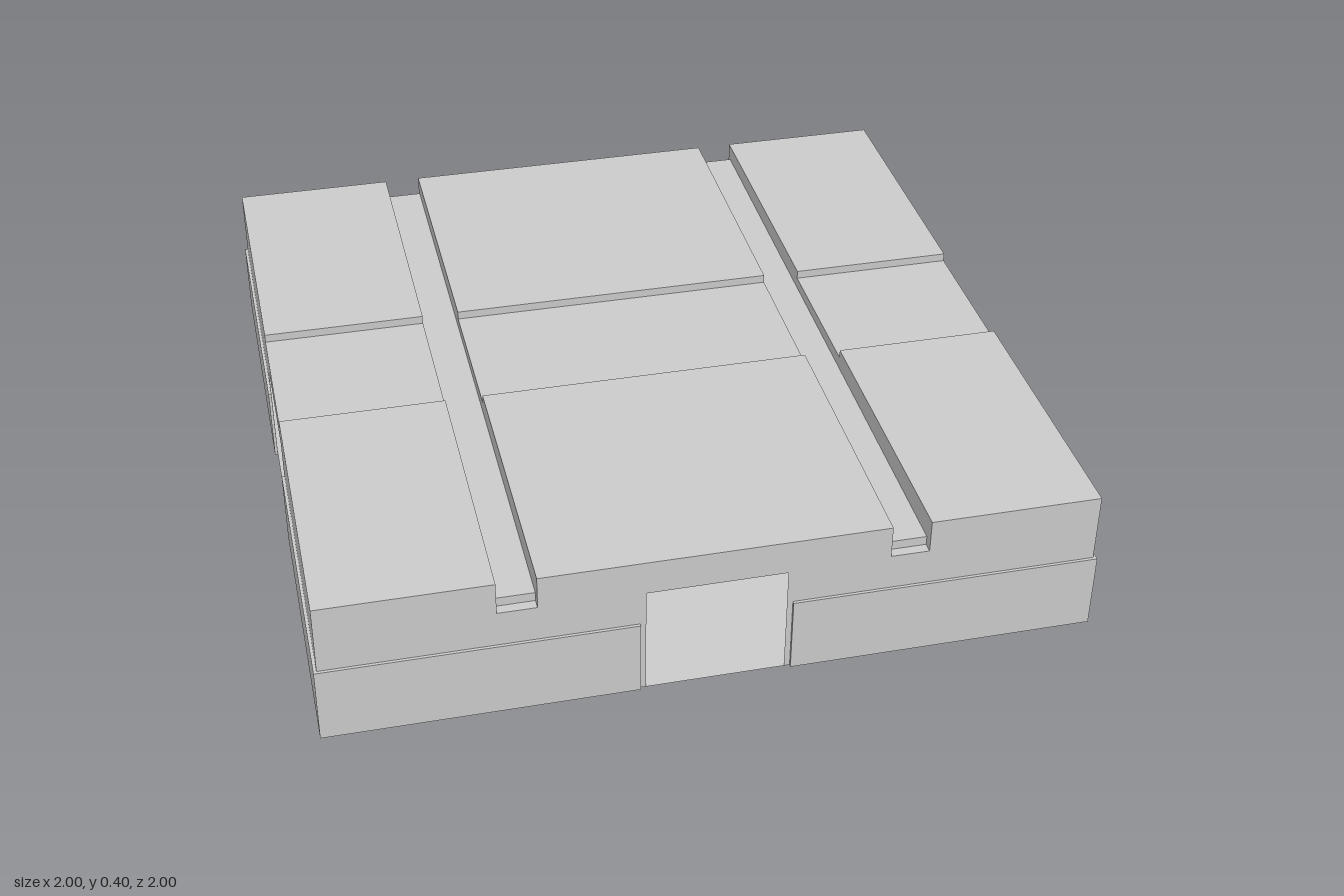
import * as THREE from 'three';

export function createModel() {
  const model = new THREE.Group();
  const mat = new THREE.MeshStandardMaterial({ color: 0xcccccc, flatShading: true, side: THREE.DoubleSide });
  const W = 0.992;       // half width of the upper block
  const EAVE = 0.31;     // top of the walls, underside of the roof
  const PLINTH = 0.21;

  const add = (name, geometry, parent = model) => {
    const mesh = new THREE.Mesh(geometry, mat);
    mesh.name = name;
    parent.add(mesh);
    return mesh;
  };
  const shapeOf = (points) => new THREE.Shape(points.map(([x, y]) => new THREE.Vector2(x, y)));

  // Extrudes a (z, y) profile along x between x0 and x1
  const alongX = (name, points, x0, x1) => {
    const g = new THREE.ExtrudeGeometry(shapeOf(points), { depth: x1 - x0, bevelEnabled: false });
    g.rotateY(-Math.PI / 2);
    g.translate(x1, 0, 0);
    return add(name, g);
  };

  // Roof strips, each with the shallow cross channel
  const roof = [[-W, EAVE], [W, EAVE], [W, 0.4], [0.21, 0.4], [0.21, 0.377],
    [-0.21, 0.377], [-0.21, 0.4], [-W, 0.4]];
  for (const [x0, x1] of [[-W, -0.55], [-0.45, 0.445], [0.545, W]]) alongX('roofStrip', roof, x0, x1);

  // Gutters between the strips: gently sloped floor with a low ledge at each end
  const gutter = [[-W, EAVE - 0.002], [W, EAVE - 0.002], [W, EAVE], [0.965, EAVE],
    [0.965, 0.335], [-0.975, 0.355], [-0.975, EAVE], [-W, EAVE]];
  for (const [x0, x1] of [[-0.55, -0.45], [0.445, 0.545]]) alongX('gutter', gutter, x0, x1);

  // Thin walls and plinth on four sides; the front and the -x side have a doorway
  const sides = [['front', 0, true], ['left', Math.PI / 2, false],
    ['back', Math.PI, false], ['right', -Math.PI / 2, true]];
  for (const [side, angle, door] of sides) {
    const group = new THREE.Group();
    group.name = side + 'Side';
    group.rotation.y = angle;
    model.add(group);

    const outline = [[-W, 0], [-W, EAVE], [W, EAVE], [W, 0]];
    if (door) outline.push([0.18, 0], [0.18, 0.305], [-0.18, 0.305], [-0.18, 0]);
    add('wall', new THREE.ShapeGeometry(shapeOf(outline)), group).position.z = W;

    for (const [x0, x1] of door ? [[-1, -0.195], [0.195, 1]] : [[-1, 1]]) {
      const plinth = add('plinth', new THREE.BoxGeometry(x1 - x0, PLINTH, 1 - W), group);
      plinth.position.set((x0 + x1) / 2, PLINTH / 2, (1 + W) / 2);
    }
  }

  // Floor
  add('floor', new THREE.PlaneGeometry(2 * W, 2 * W).rotateX(Math.PI / 2));
  return model;
}
